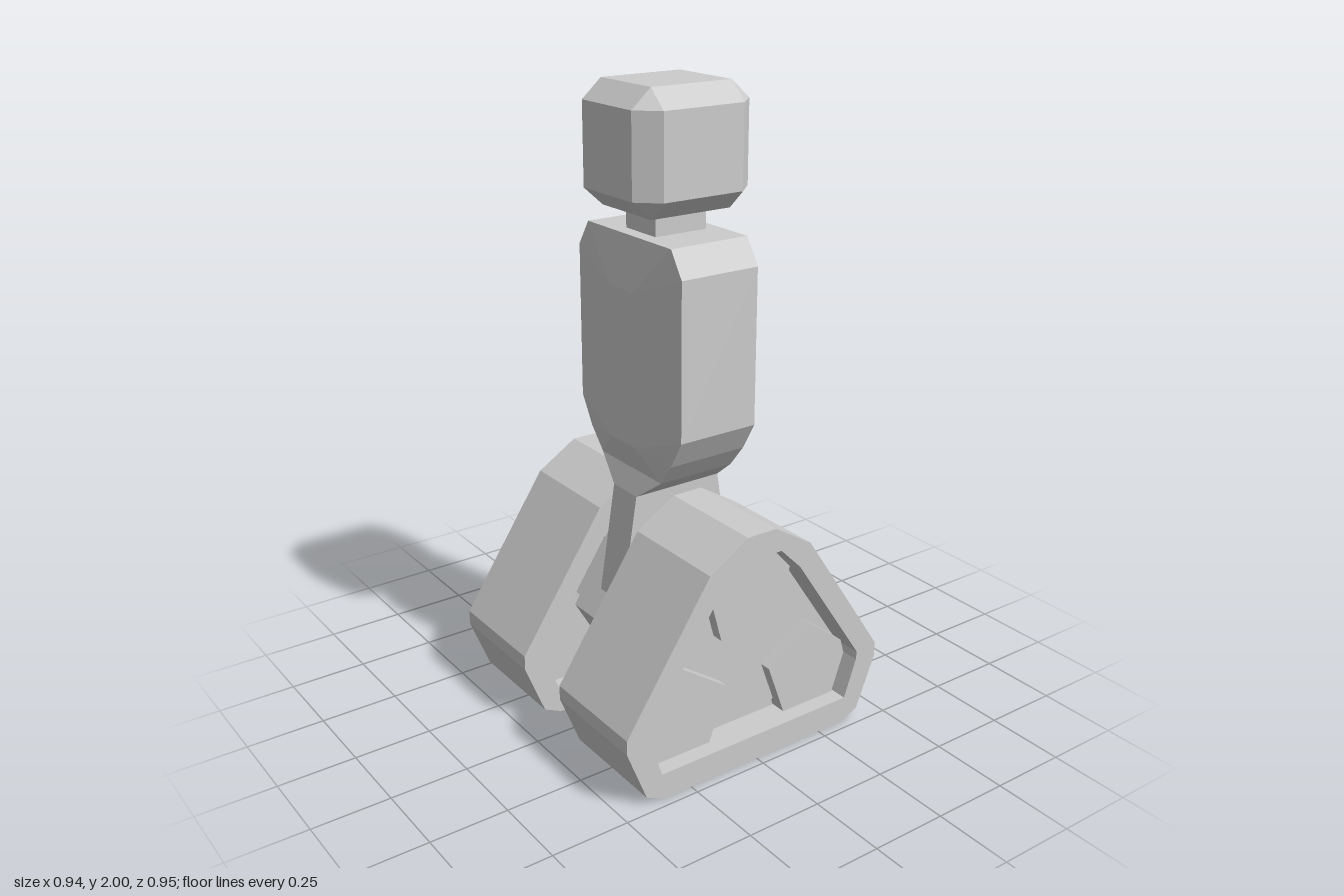
import * as THREE from 'three';
import { ConvexGeometry } from 'three/addons/geometries/ConvexGeometry.js';

const material = new THREE.MeshStandardMaterial({ color: 0xcccccc, flatShading: true });

function addMesh(parent, name, geometry, x = 0) {
  const mesh = new THREE.Mesh(geometry, material);
  mesh.name = name;
  mesh.position.x = x;
  parent.add(mesh);
  return mesh;
}

// All four x/z mirror images of each [x, y, z] corner, wrapped in a convex hull
function mirroredHull(corners) {
  const points = [];
  for (const [x, y, z] of corners)
    for (const sx of [-1, 1])
      for (const sz of [-1, 1]) points.push(new THREE.Vector3(x * sx, y, z * sz));
  return new ConvexGeometry(points);
}

// Closed [z, y] outline from its +z half, listed top to bottom (clockwise)
const mirrorOutline = half => [...half, ...half.map(([z, y]) => [-z, y]).reverse()];
const toPoints = list => list.map(([z, y]) => new THREE.Vector2(z, y));

// Extrude a [z, y] outline across x, centred on x = 0; the hole winds the other way
function sidePlate(outline, width, hole) {
  const shape = new THREE.Shape(toPoints(outline));
  if (hole) shape.holes.push(new THREE.Path(toPoints(hole).reverse()));
  const geometry = new THREE.ExtrudeGeometry(shape, { depth: width, bevelEnabled: false });
  geometry.translate(0, 0, -width / 2);
  geometry.rotateY(-Math.PI / 2);
  return geometry;
}

export function createModel() {
  const model = new THREE.Group();
  model.name = 'trackedRobot';
  const bodyX = -0.009;

  // Head: box with every edge chamfered
  addMesh(model, 'head', mirroredHull([
    [0.124, 2.0, 0.139], [0.124, 1.633, 0.139],
    [0.124, 1.943, 0.204], [0.124, 1.691, 0.204],
    [0.185, 1.943, 0.139], [0.185, 1.691, 0.139],
  ]), bodyX);

  const neck = addMesh(model, 'neck', new THREE.BoxGeometry(0.15, 0.12, 0.18), bodyX);
  neck.position.y = 1.6;

  // Torso with a raised centre panel front and back
  addMesh(model, 'torso', mirroredHull([
    [0.2125, 1.567, 0.135], [0.264, 1.487, 0.135],
    [0.264, 1.0, 0.135], [0.2125, 0.91, 0.135], [0.158, 0.838, 0.131],
    [0.0625, 1.41, 0.163], [0.0625, 0.93, 0.163],
  ]), bodyX);

  // Waist narrows to a flat stem that sinks into the hub
  addMesh(model, 'waist', mirroredHull([[0.158, 0.838, 0.131], [0.061, 0.766, 0.155]]), bodyX);
  addMesh(model, 'stem', mirroredHull([[0.061, 0.766, 0.155], [0.061, 0.4, 0.213]]), bodyX);

  // Hexagonal hub joining the tracks
  const hexagon = [];
  for (let i = 0; i < 6; i++) {
    const a = i * Math.PI / 3;
    hexagon.push([0.256 * Math.cos(a), 0.338 + 0.256 * Math.sin(a)]);
  }
  addMesh(model, 'hub', sidePlate(hexagon, 0.76));

  // Track units: hollow belt, web plate and three wheels each
  const belt = mirrorOutline([[0.052, 0.763], [0.187, 0.68], [0.477, 0.245],
    [0.477, 0.198], [0.41, 0.028], [0.35, 0]]);
  const opening = mirrorOutline([[0.075, 0.685], [0.15, 0.61], [0.4, 0.237],
    [0.398, 0.21], [0.355, 0.085]]);
  const topWheel = mirrorOutline([[0.07, 0.683], [0.152, 0.592], [0.105, 0.422]]);
  const lowWheel = [[0.24, 0.37], [0.375, 0.265], [0.39, 0.215],
    [0.345, 0.087], [0.145, 0.087], [0.082, 0.26]];
  const wheels = {
    topWheel,
    frontWheel: lowWheel,
    rearWheel: lowWheel.map(([z, y]) => [-z, y]),
  };
  for (const side of [1, -1]) {
    const track = new THREE.Group();
    track.name = side > 0 ? 'leftTrack' : 'rightTrack';
    track.position.x = side * 0.286;
    addMesh(track, 'belt', sidePlate(belt, 0.364, opening));
    addMesh(track, 'web', sidePlate(opening, 0.16));
    for (const [name, outline] of Object.entries(wheels))
      addMesh(track, name, sidePlate(outline, 0.264));
    model.add(track);
  }
  return model;
}
